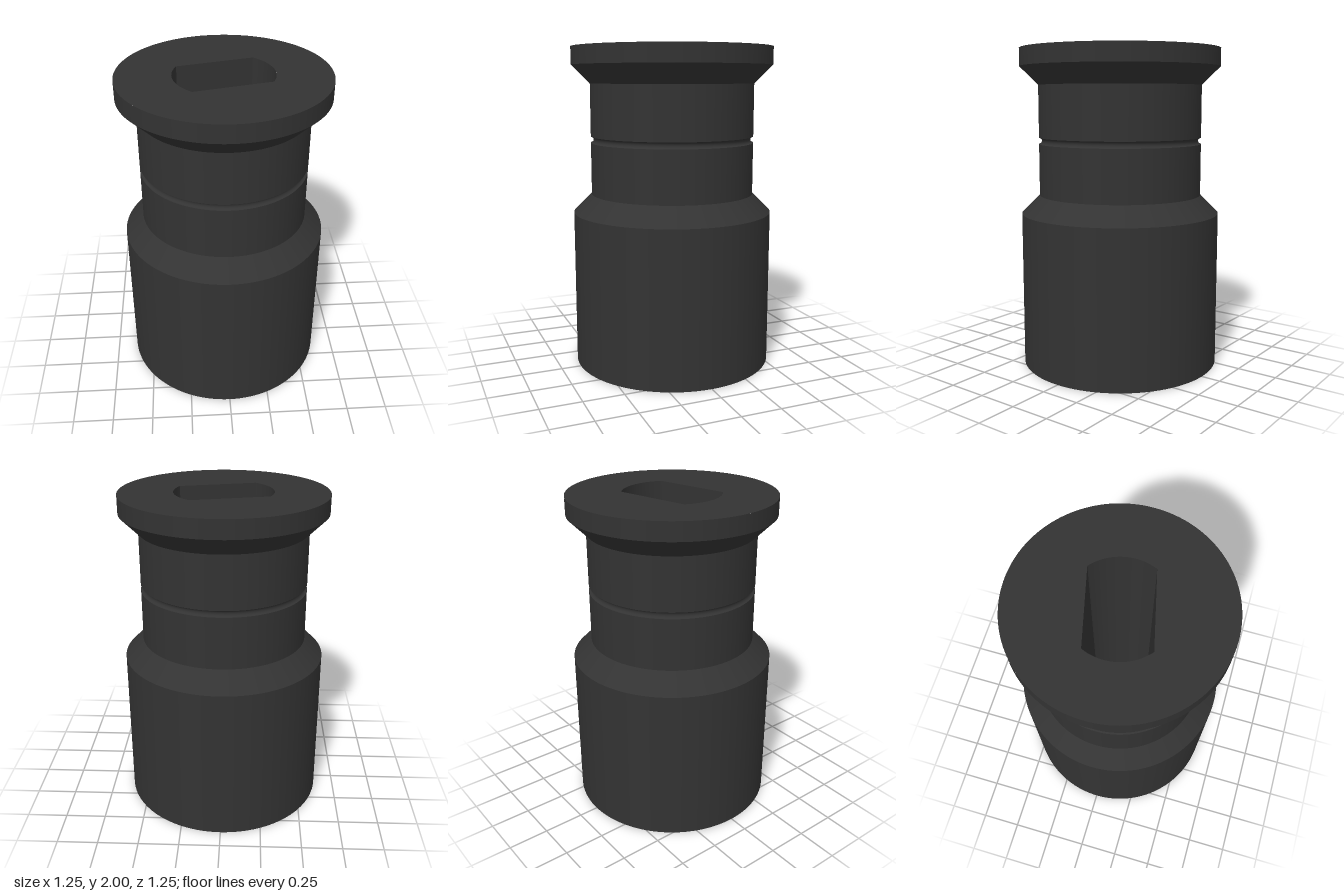
import * as THREE from 'three';

const SEGMENTS = 128;
const HEIGHT = 2;
const BODY_R = 0.627, NECK_R = 0.513;
const BORE_R = 0.298;                              // round ends of the bore
const BORE_HALF = THREE.MathUtils.degToRad(38.1);  // half angle of each round end
const BORE_TILT = THREE.MathUtils.degToRad(13.3);

export function createModel() {
  const model = new THREE.Group();
  const black = new THREE.MeshStandardMaterial({ color: 0x333333 });
  black.name = 'charcoal';

  const add = (parent, name, geometry) => {
    const mesh = new THREE.Mesh(geometry, black);
    mesh.name = name;
    parent.add(mesh);
    return mesh;
  };
  const lathe = (points, start = 0, length = Math.PI * 2, segments = SEGMENTS) =>
    new THREE.LatheGeometry(points.map(([r, y]) => new THREE.Vector2(r, y)), segments, start, length);

  // Outer surface: separate bands keep the edges between them sharp
  const groove = [];
  for (let i = 0; i <= 10; i++) {
    const a = -Math.PI / 2 + (i / 10) * Math.PI;
    groove.push([NECK_R - 0.018 * Math.cos(a), 1.43 + 0.02 * Math.sin(a)]);
  }
  const bands = {
    body: [[BODY_R, 0], [BODY_R, 0.973]],
    shoulder: [[BODY_R, 0.973], [NECK_R, 1.087]],
    lowerNeck: [[NECK_R, 1.087], [NECK_R, 1.41]],
    neckGroove: groove,
    upperNeck: [[NECK_R, 1.45], [NECK_R, 1.776]],
    flangeUnderside: [[NECK_R, 1.776], [BODY_R, 1.89]],
    flangeRim: [[BODY_R, 1.89], [BODY_R, HEIGHT]],
  };
  for (const [name, points] of Object.entries(bands)) add(model, name, lathe(points));

  // End faces and through bore share the tilt of the flats
  const core = new THREE.Group();
  core.name = 'boreAndEndFaces';
  core.rotation.y = BORE_TILT;
  model.add(core);

  const face = new THREE.Shape().absarc(0, 0, BODY_R, 0, Math.PI * 2);
  const hole = new THREE.Path();
  hole.absarc(0, 0, BORE_R, -BORE_HALF, BORE_HALF);
  hole.absarc(0, 0, BORE_R, Math.PI - BORE_HALF, Math.PI + BORE_HALF);
  hole.closePath();
  face.holes.push(hole);
  const faceGeometry = new THREE.ShapeGeometry(face, 64);
  const top = add(core, 'topFace', faceGeometry);
  top.rotation.x = -Math.PI / 2;
  top.position.y = HEIGHT;
  add(core, 'bottomFace', faceGeometry).rotation.x = Math.PI / 2;

  // Bore walls: two flats and two round ends, all facing inwards
  const flat = new THREE.PlaneGeometry(2 * BORE_R * Math.cos(BORE_HALF), HEIGHT);
  for (const side of [-1, 1]) {
    const wall = add(core, 'boreFlat', flat);
    wall.position.set(0, HEIGHT / 2, side * BORE_R * Math.sin(BORE_HALF));
    wall.rotation.y = side > 0 ? Math.PI : 0;
    add(core, 'boreRoundEnd',
      lathe([[BORE_R, HEIGHT], [BORE_R, 0]], side * Math.PI / 2 - BORE_HALF, BORE_HALF * 2, 64));
  }
  return model;
}
